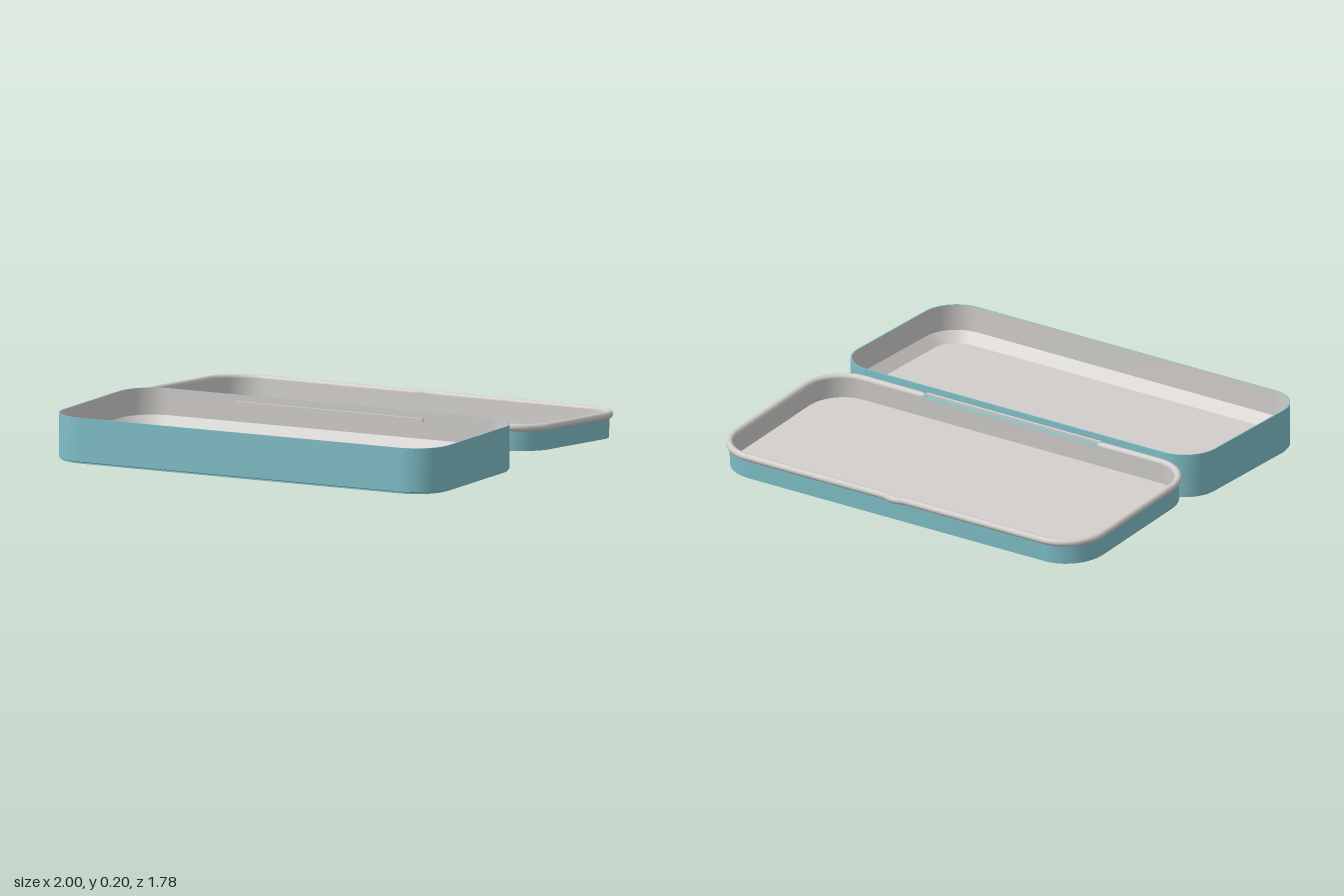
import * as THREE from 'three';
import { toCreasedNormals } from 'three/addons/utils/BufferGeometryUtils.js';

const CORNER_STEPS = 12;

// Points of a rounded rectangle in the xz plane, starting on the +x side
function ring(halfX, halfZ, r, y) {
  const pts = [];
  const corners = [[1, 1], [-1, 1], [-1, -1], [1, -1]];
  corners.forEach(([sx, sz], q) => {
    for (let i = 0; i <= CORNER_STEPS; i++) {
      const a = (q + i / CORNER_STEPS) * Math.PI / 2;
      pts.push(new THREE.Vector3(
        sx * (halfX - r) + r * Math.cos(a), y, sz * (halfZ - r) + r * Math.sin(a)));
    }
  });
  return pts;
}

// Surface through rounded rectangles; each row is [inset, y]
function tray(halfX, halfZ, r, rows, capStart, capEnd) {
  const rings = rows.map(([inset, y]) => ring(halfX - inset, halfZ - inset, r - inset, y));
  const n = rings[0].length;
  const pos = [];
  const tri = (...pts) => pts.forEach((p) => pos.push(p.x, p.y, p.z));
  for (let i = 0; i < n; i++) {
    const k = (i + 1) % n;
    for (let j = 0; j < rings.length - 1; j++) {
      const lo = rings[j], hi = rings[j + 1];
      tri(lo[i], hi[i], lo[k]);
      tri(lo[k], hi[i], hi[k]);
    }
    if (capStart) tri(new THREE.Vector3(0, rows[0][1], 0), rings[0][i], rings[0][k]);
    const last = rings[rings.length - 1];
    if (capEnd) tri(last[i], new THREE.Vector3(0, rows[rows.length - 1][1], 0), last[k]);
  }
  const geo = new THREE.BufferGeometry();
  geo.setAttribute('position', new THREE.Float32BufferAttribute(pos, 3));
  return toCreasedNormals(geo, 0.5);
}

function addMesh(parent, name, geo, mat) {
  const mesh = new THREE.Mesh(geo, mat);
  mesh.name = name;
  parent.add(mesh);
  return mesh;
}

export function createModel() {
  const teal = new THREE.MeshStandardMaterial({ color: 0x80bfc8 });
  teal.name = 'teal paint';
  const metal = new THREE.MeshStandardMaterial({ color: 0xd0cdca });
  metal.name = 'bare metal';

  const model = new THREE.Group();
  model.name = 'hingedTin';

  // Deep base with a sloped inner foot
  const base = new THREE.Group();
  base.name = 'base';
  base.position.z = 0.463;
  model.add(base);
  addMesh(base, 'baseOuterShell', tray(0.963, 0.425, 0.165,
    [[0.008, 0], [0.008, 0.006], [0, 0.01], [0, 0.205], [0.006, 0.205]], true, false), teal);
  addMesh(base, 'baseLining', tray(0.963, 0.425, 0.165,
    [[0.006, 0.205], [0.006, 0.085], [0.05, 0.04]], false, true), metal);

  // Shallow lid, folded open behind the base
  const lid = new THREE.Group();
  lid.name = 'lid';
  lid.position.set(0, 0.032, -0.418);
  lid.rotation.x = -0.068;
  model.add(lid);
  const lx = 0.984, lz = 0.446, lr = 0.185, rimY = 0.103;
  addMesh(lid, 'lidOuterShell', tray(lx, lz, lr,
    [[0, 0], [0, rimY], [0.018, rimY]], true, false), teal);
  addMesh(lid, 'lidLining', tray(lx, lz, lr,
    [[0.018, rimY], [0.018, 0.01]], false, true), metal);

  // Rolled rim: open at the hinge, bulging at the thumb notch
  const tube = 0.0165, gap = 0.49;
  const outline = ring(lx - 0.001, lz - 0.001, lr, rimY);
  const quarter = CORNER_STEPS + 1;
  const hingeZ = lz - 0.001;
  const at = (x, z) => new THREE.Vector3(x, rimY, z);
  const notch = [[-0.3, 0], [-0.07, 0], [-0.045, 0.002], [-0.02, 0.01],
    [0.02, 0.01], [0.045, 0.002], [0.07, 0], [0.3, 0]].map(([x, out]) => at(x, -hingeZ - out));
  const path = [
    at(-gap, hingeZ), at(-0.65, hingeZ),
    ...outline.slice(quarter, 2 * quarter), at(-lx + 0.001, 0),
    ...outline.slice(2 * quarter, 3 * quarter), ...notch,
    ...outline.slice(3 * quarter), at(lx - 0.001, 0),
    ...outline.slice(0, quarter), at(0.65, hingeZ), at(gap, hingeZ),
  ];
  const curve = new THREE.CatmullRomCurve3(path, false, 'centripetal');
  curve.arcLengthDivisions = 1000;
  addMesh(lid, 'rolledRim', new THREE.TubeGeometry(curve, 260, tube, 12), metal);
  for (const side of [-1, 1]) {
    const end = addMesh(lid, 'rimEnd', new THREE.SphereGeometry(tube, 12, 8), metal);
    end.scale.x = 1.8;
    end.position.set(side * gap, rimY, hingeZ);
  }

  // Hinge strip passing through the back wall of the base
  const hinge = addMesh(model, 'hingeStrip', new THREE.BoxGeometry(0.94, 0.018, 0.03), metal);
  hinge.position.set(0, 0.168, 0.039);

  return model;
}
